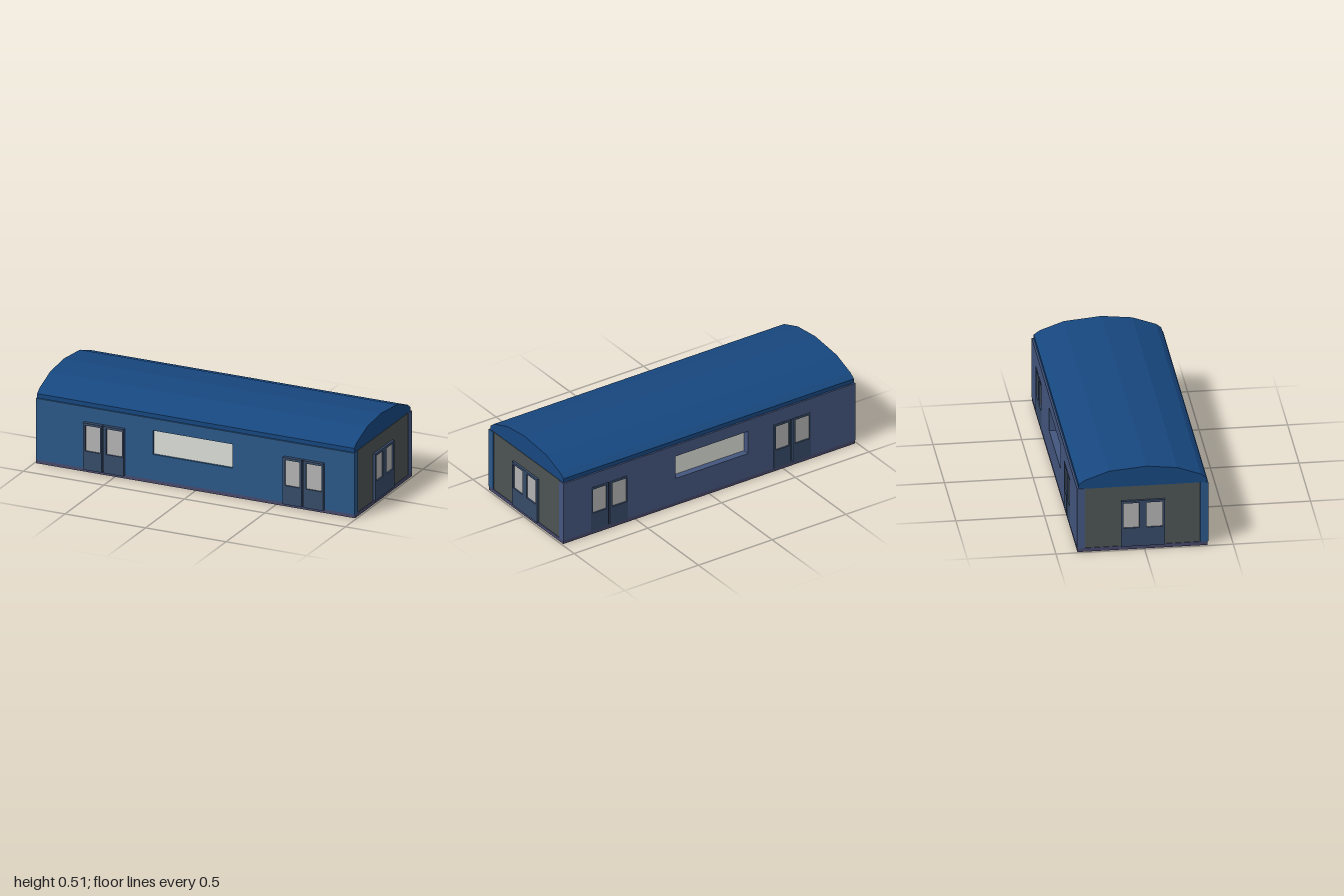
import * as THREE from 'three';

const mat = (color) => new THREE.MeshStandardMaterial({ color, flatShading: true });
const MAT = {
  frontWall: mat(0x2b5787), backWall: mat(0x44567f), endWall: mat(0x4d5354),
  roof: mat(0x17477f), floor: mat(0x46486a), door: mat(0x364a68),
  doorGlass: mat(0xb2b2b2), windowGlass: mat(0xdadcd6),
};

const FLOOR = 0.022, EAVES = 0.39, DOOR_TOP = 0.302;
const DOORS_X = [-0.687, 0.553], DOOR_W = 0.251;   // left edges of the side doors
const WINDOW = [-0.262, 0.23, 0.175, 0.318];       // x0, x1, y0, y1

function mesh(name, geometry, material) {
  const m = new THREE.Mesh(geometry, material);
  m.name = name;
  return m;
}

// Box given by its limits on each axis
function box(name, [x0, x1], [y0, y1], [z0, z1], material) {
  const g = new THREE.BoxGeometry(x1 - x0, y1 - y0, z1 - z0);
  g.translate((x0 + x1) / 2, (y0 + y1) / 2, (z0 + z1) / 2);
  return mesh(name, g, material);
}

// Upright panel with rectangular holes; rectangles are [x0, x1, y0, y1]
function panel(name, rect, holes, z0, z1, material) {
  const corners = ([x0, x1, y0, y1]) =>
    [[x0, y0], [x1, y0], [x1, y1], [x0, y1]].map(([x, y]) => new THREE.Vector2(x, y));
  const shape = new THREE.Shape(corners(rect));
  for (const h of holes) shape.holes.push(new THREE.Path(corners(h).reverse()));
  const g = new THREE.ExtrudeGeometry(shape, { depth: z1 - z0, bevelEnabled: false });
  g.translate(0, 0, z0);
  return mesh(name, g, material);
}

// Two glazed leaves facing +z, outer face at z = 0, left edge at x = 0
function doublePanelDoor(name, leaves, panes) {
  const door = new THREE.Group();
  door.name = name;
  leaves.forEach(([a, b], i) => {
    const [p, q] = panes[i];
    const hole = [p, q, 0.135, 0.288];
    door.add(panel('doorLeaf', [a, b, FLOOR, DOOR_TOP], [hole], -0.03, 0, MAT.door));
    door.add(box('doorGlass', [p, q], [0.135, 0.288], [-0.02, -0.009], MAT.doorGlass));
  });
  // Strip closing the gap between the leaves
  door.add(box('doorPost', [0.112, 0.132], [FLOOR, DOOR_TOP], [-0.028, -0.012], MAT.door));
  return door;
}

const sideDoor = () => doublePanelDoor('sideDoor',
  [[0, 0.117], [0.128, DOOR_W]], [[0.014, 0.106], [0.145, 0.243]]);
const endDoor = () => doublePanelDoor('endDoor',
  [[0, 0.123], [0.1235, 0.247]], [[0.013, 0.102], [0.143, 0.233]]);

function place(object, x, z, turn) {
  object.position.set(x, 0, z);
  object.rotation.y = turn;
  return object;
}

export function createModel() {
  const car = new THREE.Group();
  car.name = 'railCarriage';

  car.add(box('floor', [-0.99, 0.99], [0, FLOOR], [-0.378, 0.356], MAT.floor));

  // Long walls with openings for doors and window
  const openings = DOORS_X.map((x) => [x + 0.005, x + DOOR_W - 0.005, FLOOR + 0.004, DOOR_TOP - 0.005]);
  const wall = [-0.99, 0.99, FLOOR, EAVES];
  car.add(panel('frontWall', wall, [...openings, WINDOW], 0.315, 0.36, MAT.frontWall));
  car.add(panel('backWall', wall, [...openings, WINDOW], -0.38, -0.335, MAT.backWall));
  const [x0, x1, y0, y1] = WINDOW;
  car.add(box('frontWindow', [x0, x1], [y0, y1], [0.33, 0.347], MAT.windowGlass));
  car.add(box('backWindow', [x0, x1], [y0, y1], [-0.34, -0.325], MAT.windowGlass));

  for (const x of DOORS_X) {
    car.add(place(sideDoor(), x, 0.383, 0));
    car.add(place(sideDoor(), x + DOOR_W, -0.382, Math.PI));
  }

  // End walls with their doors
  for (const s of [-1, 1]) {
    const xs = s > 0 ? [0.945, 0.986] : [-0.986, -0.945];
    car.add(box('endWall', xs, [FLOOR, EAVES], [-0.335, 0.315], MAT.endWall));
    car.add(place(endDoor(), s, s > 0 ? 0.115 : -0.132, s * Math.PI / 2));
  }

  // Faceted arched roof, profile as [z, y]
  const profile = [[0.35, 0.388], [0.35, 0.415], [0.32, 0.439], [0.185, 0.488], [0.012, 0.507],
    [-0.2, 0.488], [-0.337, 0.439], [-0.37, 0.415], [-0.37, 0.388]];
  const shape = new THREE.Shape(profile.map(([z, y]) => new THREE.Vector2(-z, y)));
  const roof = new THREE.ExtrudeGeometry(shape, { depth: 1.97, bevelEnabled: false });
  roof.rotateY(Math.PI / 2);
  roof.translate(-0.987, 0, 0);
  car.add(mesh('roof', roof, MAT.roof));

  return car;
}
